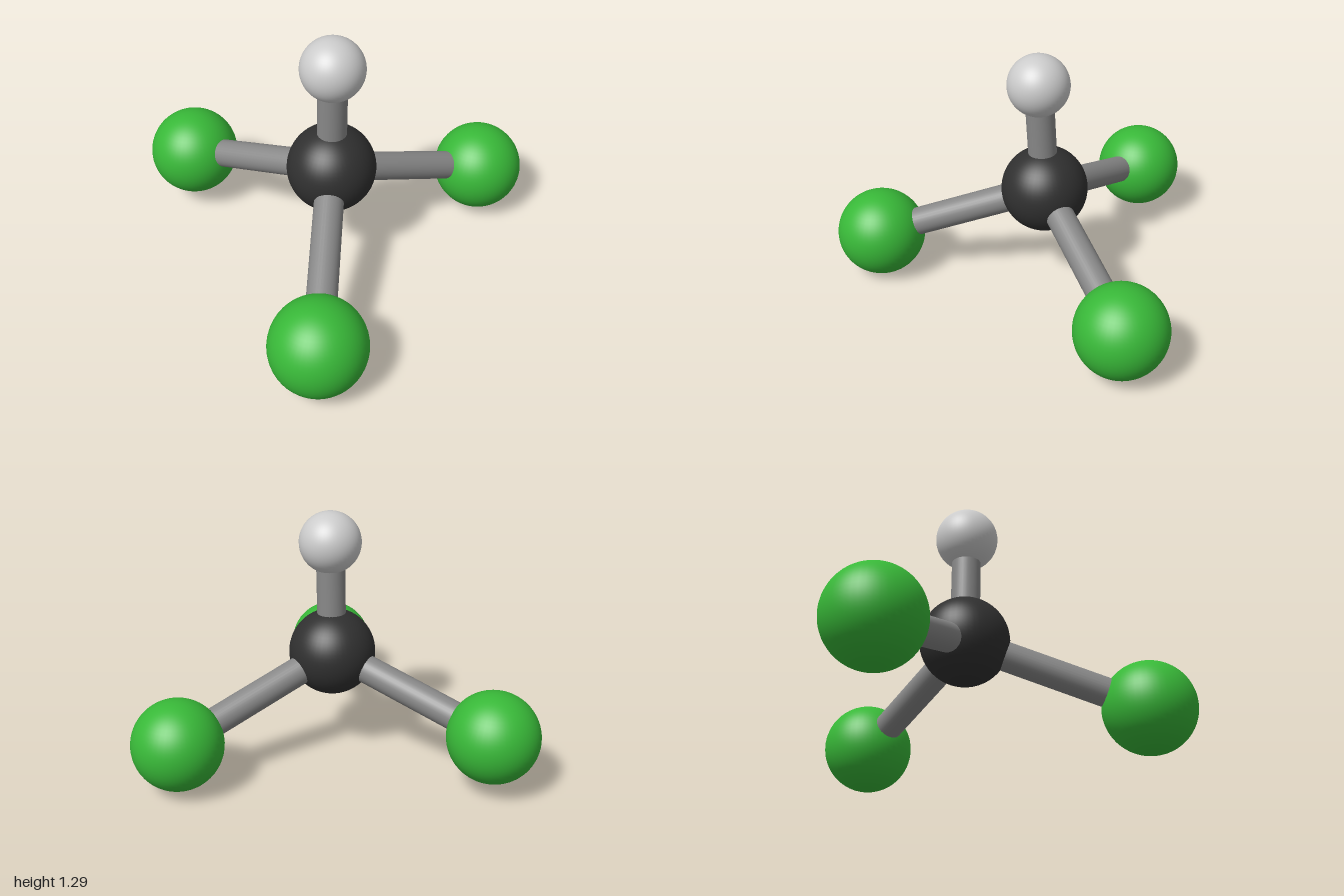
import * as THREE from 'three';

const material = (color) => new THREE.MeshStandardMaterial({ color });

export function createModel() {
  const model = new THREE.Group();
  const green = material(0x38b838);
  const dark = material(0x303030);
  const pale = material(0xcccccc);
  const grey = material(0x888888);

  const addBall = (name, centre, radius, mat) => {
    const ball = new THREE.Mesh(new THREE.SphereGeometry(radius, 48, 32), mat);
    ball.name = name;
    ball.position.copy(centre);
    model.add(ball);
  };

  // Rod running between two ball centres
  const addRod = (name, from, to) => {
    const span = to.clone().sub(from);
    const rod = new THREE.Mesh(new THREE.CylinderGeometry(0.073, 0.073, span.length(), 32), grey);
    rod.name = name;
    rod.position.copy(from).addScaledVector(span, 0.5);
    rod.quaternion.setFromUnitVectors(new THREE.Vector3(0, 1, 0), span.normalize());
    model.add(rod);
  };

  // Central ball
  const centre = new THREE.Vector3(-0.18, 0.555, 0.055);
  addBall('centreBall', centre, 0.222, dark);

  // Outer balls, each joined to the centre by a rod
  const outer = [
    ['top', [-0.18, 1.135, 0.08], 0.157, pale],
    ['left', [0.7, 0.25, 0.135], 0.23, green],
    ['frontRight', [-0.705, 0.233, 0.77], 0.23, green],
    ['backRight', [-0.547, 0.298, -0.77], 0.23, green],
  ];
  for (const [name, position, radius, mat] of outer) {
    const end = new THREE.Vector3(...position);
    addBall(name + 'Ball', end, radius, mat);
    addRod(name + 'Rod', centre, end);
  }
  return model;
}
